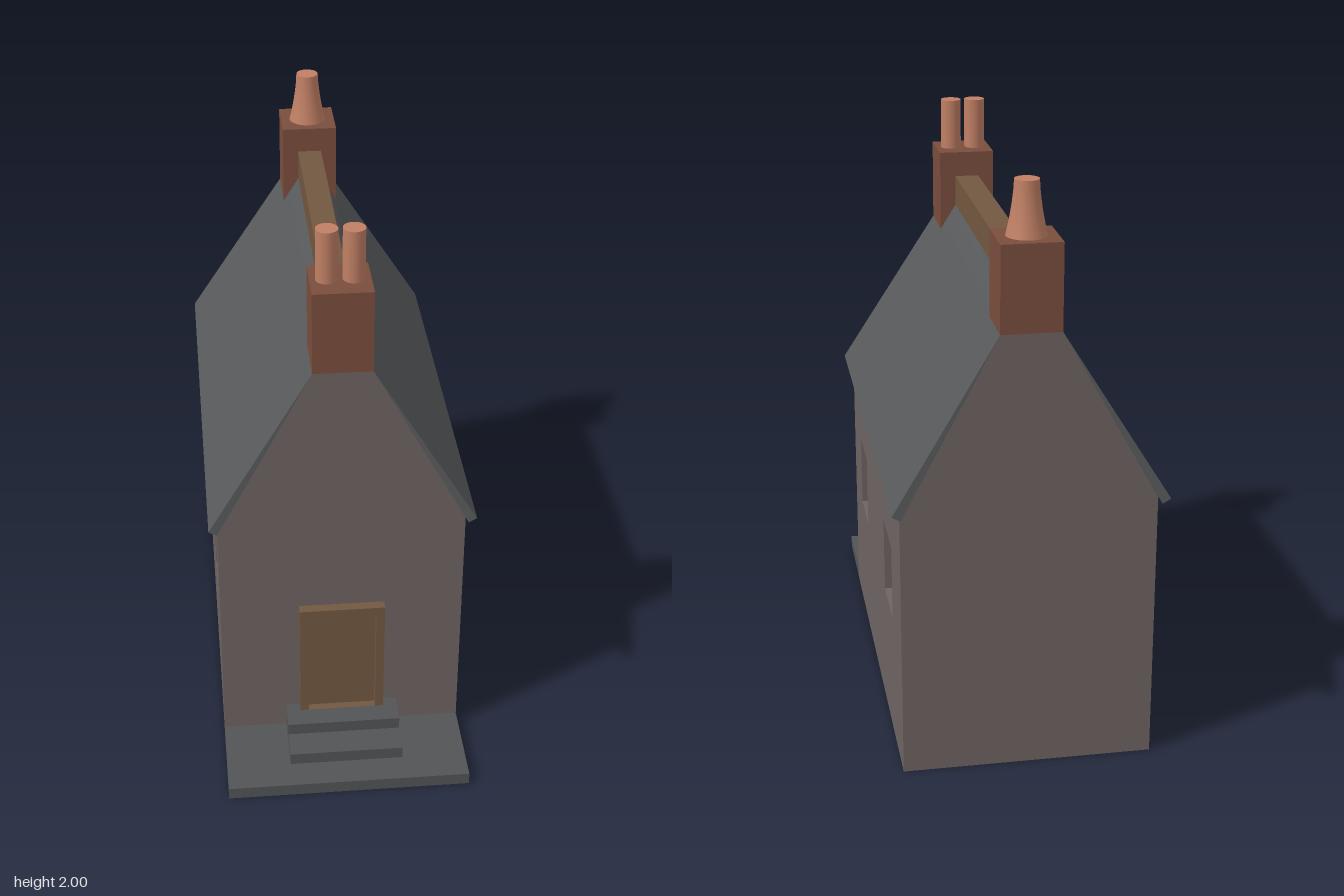
import * as THREE from 'three';

const material = (color) => new THREE.MeshStandardMaterial({ color, side: THREE.DoubleSide });

// Overall plan of the house
const HALF_W = 0.425, FRONT = 0.61, BACK = -0.88, EAVE = 0.95;
const NECK_X = 0.1, NECK_Y = 1.53;

// Box between two corners, optionally leaving out faces (0..5 = +x -x +y -y +z -z)
function box(x0, x1, y0, y1, z0, z1, omit = []) {
  const g = new THREE.BoxGeometry(x1 - x0, y1 - y0, z1 - z0);
  const index = Array.from(g.index.array).filter((_, i) => !omit.includes(Math.floor(i / 6)));
  g.setIndex(index);
  g.clearGroups();
  return g.translate((x0 + x1) / 2, (y0 + y1) / 2, (z0 + z1) / 2);
}

function rectangle(Type, x0, x1, y0, y1) {
  return new Type([[x0, y0], [x1, y0], [x1, y1], [x0, y1]].map(([x, y]) => new THREE.Vector2(x, y)));
}

// Strip of quads between a front row and a back row of points
function loft(front, back) {
  const g = new THREE.BufferGeometry();
  const index = [];
  const n = front.length;
  for (let i = 0; i < n - 1; i++) index.push(i, n + i, i + 1, i + 1, n + i, n + i + 1);
  g.setAttribute('position', new THREE.Float32BufferAttribute([...front, ...back].flat(), 3));
  g.setIndex(index);
  g.computeVertexNormals();
  return g;
}

export function createModel() {
  const model = new THREE.Group();
  model.name = 'house';
  const wall = material(0x6e6462), slate = material(0x57595a), stone = material(0x525455);
  const brick = material(0x7a4e3d), clay = material(0xc07f64);
  const wood = material(0x735841), glass = material(0x879fa1);

  const add = (name, geometry, mat, parent = model) => {
    const mesh = new THREE.Mesh(geometry, mat);
    mesh.name = name;
    parent.add(mesh);
    return mesh;
  };

  // Gable walls
  const gable = new THREE.Shape([
    [-HALF_W, 0], [HALF_W, 0], [HALF_W, EAVE], [NECK_X, NECK_Y], [-NECK_X, NECK_Y], [-HALF_W, EAVE],
  ].map(([x, y]) => new THREE.Vector2(x, y)));
  add('frontWall', new THREE.ShapeGeometry(gable).translate(0, 0, FRONT), wall);
  add('backWall', new THREE.ShapeGeometry(gable).rotateY(Math.PI).translate(0, 0, BACK), wall);

  // Side walls with recessed windows
  const windows = [[0.155, 0.375], [-0.63, -0.4]];
  const SILL = 0.45, HEAD = 0.715, INSET = 0.03;
  for (const s of [1, -1]) {
    const side = s > 0 ? 'left' : 'right';
    const span = (a, b) => [Math.min(-s * a, -s * b), Math.max(-s * a, -s * b)];
    const shape = rectangle(THREE.Shape, ...span(BACK, FRONT), 0, EAVE);
    for (const [z0, z1] of windows) {
      shape.holes.push(rectangle(THREE.Path, ...span(z0, z1), SILL, HEAD));
      const outer = s * HALF_W, inner = s * (HALF_W - INSET);
      add(side + 'WindowReveal',
        box(Math.min(outer, inner), Math.max(outer, inner), SILL, HEAD, z0, z1, [0, 1]), wall);
      add(side + 'WindowPane', new THREE.PlaneGeometry(z1 - z0, HEAD - SILL)
        .rotateY(s * Math.PI / 2).translate(inner, (SILL + HEAD) / 2, (z0 + z1) / 2), glass);
    }
    add(side + 'Wall', new THREE.ShapeGeometry(shape).rotateY(s * Math.PI / 2)
      .translate(s * HALF_W, 0, 0), wall);
  }

  // Roof: slopes softened at the ridge, flaring past the gables at the eaves
  const rim = [[-0.455, 0.96, 0.05], [-NECK_X, NECK_Y, 0], [0, 1.69, -0.11],
    [NECK_X, NECK_Y, 0], [0.455, 0.96, 0.05]];
  const row = (pts, dir) => pts.map(([x, y, over]) => [x, y, (dir > 0 ? FRONT : BACK) + dir * over]);
  // Points run from -x to +x, so back-to-front order faces up
  add('roofSlopes', loft(row(rim, 1), row(rim, -1)).toNonIndexed().index ?? loft(row(rim, -1), row(rim, 1)), slate);

  // Roof undersides, eave lips and verge edges
  for (const s of [1, -1]) {
    const outer = [s * 0.455, 0.96, 0.05], lower = [s * 0.427, 0.944, 0.05], top = [s * NECK_X, NECK_Y, 0];
    const strip = [outer, lower, top];
    const ordered = s > 0 ? strip : [...strip].reverse();
    const g = loft(row(ordered, -1), row(ordered, 1)).toNonIndexed();
    g.computeVertexNormals();
    add('roofUnderside', g, slate);
    for (const dir of [1, -1]) {
      const [a, b, c] = row(strip, dir);
      const verge = new THREE.BufferGeometry();
      const corners = s * dir > 0 ? [a, c, b] : [a, b, c];
      verge.setAttribute('position', new THREE.Float32BufferAttribute(corners.flat(), 3));
      verge.computeVertexNormals();
      add('roofVerge', verge, slate);
    }
  }

  // Ridge beam and the two chimney stacks
  add('ridgeBeam', box(-0.043, 0.043, 1.62, 1.73, -0.7, 0.43), wood);
  add('frontChimney', box(-NECK_X, NECK_X, NECK_Y, 1.82, 0.41, FRONT), brick);
  add('backChimney', box(-NECK_X, NECK_X, NECK_Y, 1.82, BACK, -0.68), brick);

  // Chimney pots: a straight pair in front, one flared pot behind
  for (const s of [1, -1]) {
    add('frontChimneyPot', new THREE.CylinderGeometry(0.037, 0.037, 0.18, 32)
      .translate(s * 0.044, 1.91, 0.51), clay);
  }
  const potSide = [[0.067, 1.82], [0.06, 1.85], [0.052, 1.89], [0.046, 1.93], [0.042, 1.965], [0.04, 2]]
    .map(([r, y]) => new THREE.Vector2(r, y));
  add('backChimneyPot', new THREE.LatheGeometry(potSide, 32).translate(0, 0, -0.78), clay);
  add('backChimneyPotTop', new THREE.CircleGeometry(0.04, 32).rotateX(-Math.PI / 2)
    .translate(0, 2, -0.78), clay);

  // Door with a raised frame
  const frame = rectangle(THREE.Shape, -0.15, 0.15, 0.135, 0.585);
  frame.holes.push(rectangle(THREE.Path, -0.12, 0.12, 0.135, 0.55));
  add('doorFrame', new THREE.ExtrudeGeometry(frame, { depth: 0.035, bevelEnabled: false })
    .translate(0, 0, FRONT), wood);
  add('door', box(-0.12, 0.12, 0.135, 0.55, FRONT, FRONT + 0.008), wood);

  // Hollow terrace and steps, each open underneath where the next one stands
  const steps = [
    { name: 'terrace', w: HALF_W, z: 0.93 },
    { name: 'lowerStep', w: 0.2, z: 0.825 },
    { name: 'upperStep', w: 0.2, z: 0.72 },
  ];
  steps.forEach(({ name, w, z }, i) => {
    const group = new THREE.Group();
    group.name = name;
    model.add(group);
    const y = i * 0.045, next = steps[i + 1];
    add(name + 'Sides', box(-w, w, y, y + 0.045, FRONT, z, [2, 3, 5]), stone, group);
    const near = next && next.w === w ? next.z : FRONT;
    const tread = rectangle(THREE.Shape, -w, w, -z, -near);
    if (next && next.w < w) {
      tread.holes.push(rectangle(THREE.Path, -next.w, next.w, -next.z, -FRONT - 0.001));
    }
    add(name + 'Tread', new THREE.ShapeGeometry(tread).rotateX(-Math.PI / 2)
      .translate(0, y + 0.045, 0), stone, group);
  });

  return model;
}
